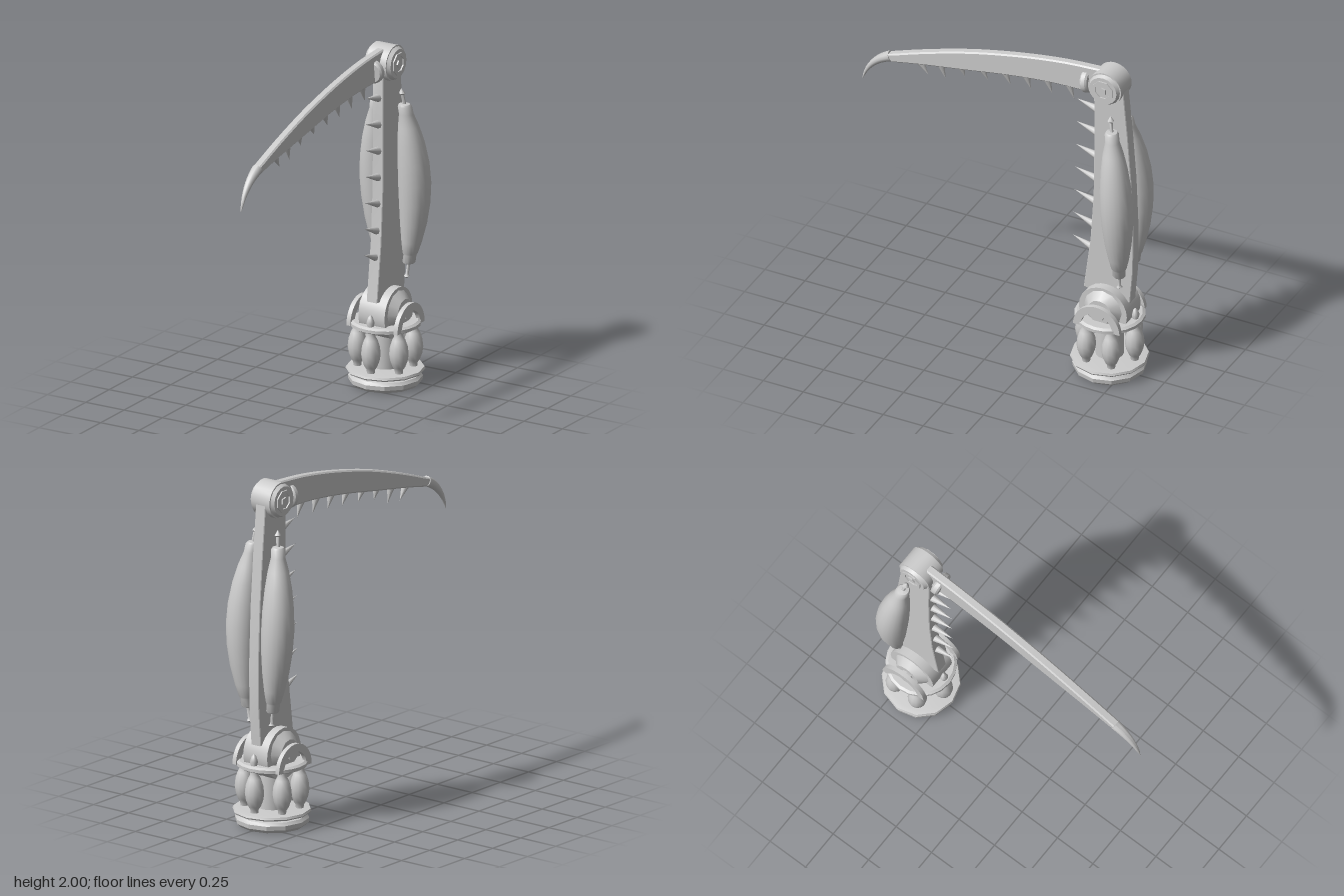
import * as THREE from 'three';
import { toCreasedNormals } from 'three/addons/utils/BufferGeometryUtils.js';

const steel = new THREE.MeshStandardMaterial({ color: 0xcccccc });
steel.name = 'steel grey';
const CZ = -0.657; // vertical axis of the base, strut and elbow

export function createModel() {
  const root = new THREE.Group();
  root.name = 'bladeArm';

  function add(name, geo, x = 0, y = 0, z = 0, crease = 0.6, parent = root) {
    const mesh = new THREE.Mesh(toCreasedNormals(geo, crease), steel);
    mesh.name = name;
    mesh.position.set(x, y, z);
    parent.add(mesh);
    return mesh;
  }
  const lathe = (pts, n) => new THREE.LatheGeometry(pts.map(p => new THREE.Vector2(p[0], p[1])), n);
  // Round part whose axis lies along x
  const drum = (r, w, n) => new THREE.CylinderGeometry(r, r, w, n).rotateZ(Math.PI / 2);
  // Plate drawn in (z, y) and extruded along x, centred on x = 0
  function plate(shape, w, bevel = 0) {
    const geo = new THREE.ExtrudeGeometry(shape, {
      depth: w - 2 * bevel, bevelEnabled: bevel > 0, bevelSize: bevel, bevelThickness: bevel,
      bevelOffset: -bevel, bevelSegments: 1, curveSegments: 16,
    });
    return geo.translate(0, 0, -w / 2 + bevel).rotateY(-Math.PI / 2);
  }
  const outline = (pts) => new THREE.Shape(pts.map(p => new THREE.Vector2(p[0], p[1])));
  // Pointed cone from a base point to a tip, both as [z, y]
  function spike(name, base, tip, r) {
    const a = new THREE.Vector3(0, base[1], base[0]);
    const d = new THREE.Vector3(0, tip[1], tip[0]).sub(a);
    const mesh = add(name, new THREE.ConeGeometry(r, d.length(), 8).translate(0, d.length() / 2, 0), 0, a.y, a.z, 0.9);
    mesh.quaternion.setFromUnitVectors(new THREE.Vector3(0, 1, 0), d.normalize());
  }

  // Round foot and centre column
  add('foot', lathe([[0, 0], [0.185, 0], [0.207, 0.02], [0.21, 0.045], [0.197, 0.062], [0.18, 0.066],
    [0.18, 0.076], [0.218, 0.078], [0.223, 0.086], [0.218, 0.098], [0.19, 0.102], [0, 0.102]], 12), 0, 0, CZ, 0.5);
  add('column', new THREE.CylinderGeometry(0.08, 0.08, 0.26, 16), 0, 0.225, CZ);
  add('upperRing', lathe([[0, 0.342], [0.185, 0.342], [0.2, 0.35], [0.2, 0.368], [0.185, 0.378], [0, 0.378]], 20), 0, 0, CZ, 0.5);

  // Six bulb-shaped pistons around the column
  const bulb = [[0.022, 0.1], [0.024, 0.122], [0.036, 0.14], [0.049, 0.175], [0.055, 0.215],
    [0.05, 0.26], [0.037, 0.3], [0.026, 0.32], [0.026, 0.345]];
  for (let i = 0; i < 6; i++) {
    const a = i * Math.PI / 3;
    add('piston', lathe(bulb, 12), 0.156 * Math.sin(a), 0, CZ + 0.156 * Math.cos(a), 0.9);
  }

  // Shoulder drum, cheeks, arched brackets and small pins
  add('shoulderDrum', drum(0.15, 0.17, 24), 0, 0.425, CZ);
  for (const s of [1, -1]) {
    const cheek = new THREE.CylinderGeometry(0.075, 0.12, 0.045, 12).rotateZ(-s * Math.PI / 2);
    add('shoulderCheek', cheek, s * 0.105, 0.44, CZ);
    add('shoulderBolt', drum(0.042, 0.03, 8), s * 0.14, 0.44, CZ, 0.3);
    const arch = new THREE.Shape();
    arch.absarc(0, 0, 0.145, 0, Math.PI, false);
    arch.absarc(0, 0, 0.1, Math.PI, 0, true);
    add('archBracket', plate(arch, 0.026), s * 0.154, 0.35, CZ);
    const pin = lathe([[0, 0], [0.016, 0], [0.024, 0.03], [0.014, 0.06], [0, 0.075]], 10);
    add('shoulderPin', pin, 0, 0.37, CZ + s * 0.16, 0.9);
  }

  // Flat upright strut
  add('strut', plate(outline([[-0.51, 0.515], [-0.8, 0.49], [-0.818, 0.7], [-0.822, 0.95], [-0.808, 1.3],
    [-0.785, 1.6], [-0.757, 1.9], [-0.7, 1.95], [-0.6, 1.95], [-0.575, 1.88], [-0.577, 1.5], [-0.572, 1.15],
    [-0.553, 0.85]]), 0.07, 0.004), 0, 0, 0, 0.4);
  for (let i = 0; i < 7; i++) {
    const y = 0.765 + i * 0.156;
    const z = i === 0 ? -0.552 : i === 1 ? -0.56 : -0.573;
    spike('strutSpike', [z - 0.015, y], [-0.426 - i * 0.0045, y + 0.053 - i * 0.003], 0.026);
  }

  // Bowed muscles with collars and pointed pins, one on each side of the strut
  const muscle = [[0, 0.598], [0.017, 0.612], [0.009, 0.624], [0.009, 0.69], [0.032, 0.692], [0.037, 0.7], [0.037, 0.742],
    [0.043, 0.752], [0.058, 0.82], [0.076, 0.93], [0.088, 1.05], [0.093, 1.17], [0.089, 1.29], [0.077, 1.41],
    [0.06, 1.51], [0.041, 1.585], [0.04, 1.63], [0.032, 1.642], [0.01, 1.645], [0.01, 1.7], [0.018, 1.708], [0, 1.738]];
  for (const s of [1, -1]) {
    const geo = lathe(muscle, 20);
    const p = geo.attributes.position;
    for (let i = 0; i < p.count; i++) {
      const t = (p.getY(i) - 0.598) / 1.14;
      const bow = Math.sin(Math.PI * t);
      p.setX(i, p.getX(i) + s * (0.076 + 0.05 * bow));
      p.setZ(i, p.getZ(i) - 0.757 + 0.057 * t - 0.035 * bow);
    }
    add('muscle', geo, 0, 0, 0, 0.7);
  }

  // Elbow hub with stepped caps and bolt rings on both sides
  add('elbowHub', drum(0.104, 0.13, 24), 0, 1.896, CZ);
  for (const s of [1, -1]) {
    const cap = new THREE.CylinderGeometry(0.085, 0.098, 0.022, 16).rotateZ(-s * Math.PI / 2);
    add('elbowCap', cap, s * 0.074, 1.896, CZ, 0.4);
    const nut = new THREE.Shape();
    const hole = new THREE.Path();
    for (let i = 0; i < 8; i++) {
      const a = i * Math.PI / 4 + Math.PI / 8;
      nut[i ? 'lineTo' : 'moveTo'](0.066 * Math.cos(a), 0.066 * Math.sin(a));
      hole[i ? 'lineTo' : 'moveTo'](0.046 * Math.cos(-a), 0.046 * Math.sin(-a));
    }
    nut.holes.push(hole);
    add('elbowNut', plate(nut, 0.012), s * 0.087, 1.896, CZ, 0.3);
    add('elbowBolt', drum(0.024, 0.014, 5), s * 0.087, 1.896, CZ, 0.3);
  }
  // Collar disc where the blade leaves the elbow
  const collar = lathe([[0, -0.022], [0.06, -0.022], [0.07, -0.012], [0.07, 0.012], [0.06, 0.022], [0, 0.022]], 18);
  add('bladeCollar', collar, 0, 1.878, -0.52).rotation.x = Math.PI / 2 + 0.12;

  // Long tapering blade
  const top = new THREE.SplineCurve([[-0.62, 1.987], [-0.4, 1.972], [-0.175, 1.94], [0.05, 1.895], [0.25, 1.845],
    [0.5, 1.767], [0.735, 1.682]].map(p => new THREE.Vector2(...p))).getPoints(18);
  const under = new THREE.SplineCurve([[0.7, 1.642], [0.514, 1.68], [0.25, 1.725], [-0.016, 1.772], [-0.23, 1.8],
    [-0.4, 1.812], [-0.62, 1.815]].map(p => new THREE.Vector2(...p))).getPoints(18);
  add('blade', plate(new THREE.Shape([...top, ...under]), 0.05, 0.008), 0, 0, 0, 0.5);

  // Hooked teeth under the blade
  const teeth = [[0.53, 1.68, 0.477, 1.611], [0.4, 1.705, 0.371, 1.622], [0.272, 1.728, 0.249, 1.669], [0.142, 1.75, 0.106, 1.69],
    [0, 1.772, -0.037, 1.701], [-0.132, 1.79, -0.164, 1.712], [-0.265, 1.805, -0.297, 1.722], [-0.4, 1.815, -0.435, 1.728]];
  for (const [z, y, tz, ty] of teeth) spike('bladeTooth', [z, y + 0.01], [tz, ty], 0.024);

  // Curved claw: a tapering sweep from the blade end to the tip
  const path = new THREE.QuadraticBezierCurve3(new THREE.Vector3(0, 1.668, 0.712),
    new THREE.Vector3(0, 1.61, 0.85), new THREE.Vector3(0, 1.463, 0.89));
  const steps = 10, sides = 10, pos = [], idx = [];
  for (let i = 0; i <= steps; i++) {
    const t = i / steps, c = path.getPoint(t), d = path.getTangent(t);
    const r = 0.031 * Math.pow(1 - t, 0.75) + 0.0005;
    for (let j = 0; j < sides; j++) {
      const a = j / sides * Math.PI * 2;
      pos.push(r * Math.cos(a), c.y + r * Math.sin(a) * d.z, c.z - r * Math.sin(a) * d.y);
      if (i < steps) {
        const k = i * sides + j, n = i * sides + (j + 1) % sides;
        idx.push(k, n, k + sides, n, n + sides, k + sides);
      }
    }
  }
  for (let j = 1; j < sides - 1; j++) idx.push(0, j + 1, j);
  const claw = new THREE.BufferGeometry();
  claw.setAttribute('position', new THREE.Float32BufferAttribute(pos, 3));
  claw.setIndex(idx);
  add('claw', claw, 0, 0, 0, 0.9);

  return root;
}
